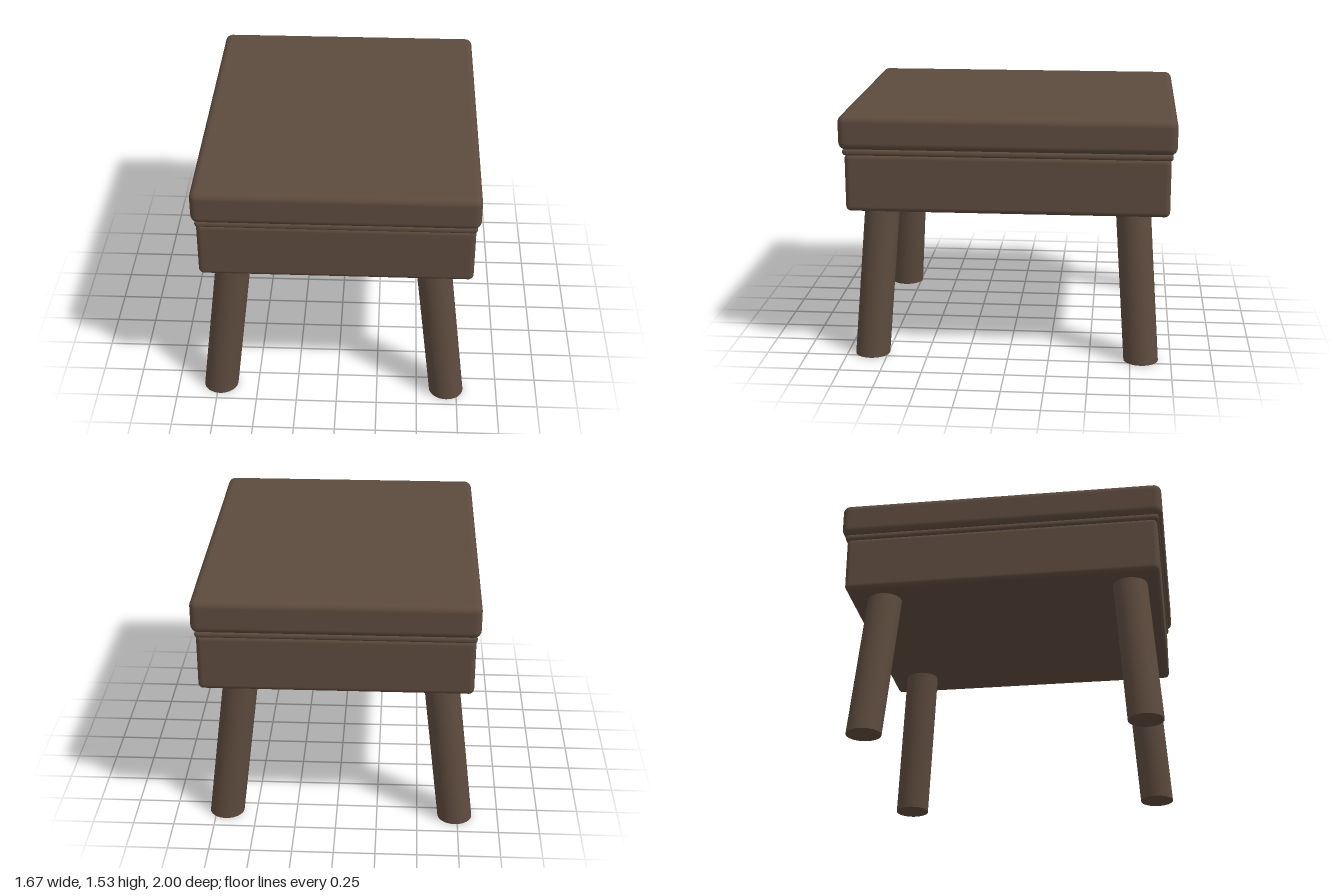
import * as THREE from 'three';
import { RoundedBoxGeometry } from 'three/addons/geometries/RoundedBoxGeometry.js';

export function createModel() {
  const stool = new THREE.Group();
  stool.name = 'stool';
  const wood = new THREE.MeshStandardMaterial({ color: 0x5c4a3d });
  wood.name = 'dark brown wood';

  // Rounded slab spanning y0..y1
  function slab(name, width, depth, y0, y1, radius) {
    const mesh = new THREE.Mesh(new RoundedBoxGeometry(width, y1 - y0, depth, 5, radius), wood);
    mesh.name = name;
    mesh.position.set(-0.002, (y0 + y1) / 2, 0);
    stool.add(mesh);
  }
  slab('seat', 1.67, 2, 1.32, 1.53, 0.045);
  slab('trimBand', 1.63, 1.955, 1.285, 1.325, 0.018);
  slab('apron', 1.62, 1.935, 0.94, 1.295, 0.032);

  // Splayed round legs, sheared so the feet lie flat on the floor
  const legHeight = 0.98, splayX = 0.118, splayZ = 0.07;
  for (const sx of [-1, 1]) {
    for (const sz of [-1, 1]) {
      const leg = new THREE.CylinderGeometry(0.106, 0.106, legHeight, 40);
      leg.translate(0, legHeight / 2, 0);
      leg.applyMatrix4(new THREE.Matrix4().set(
        1, -sx * splayX, 0, 0,
        0, 1, 0, 0,
        0, -sz * splayZ, 1, 0,
        0, 0, 0, 1));
      const mesh = new THREE.Mesh(leg, wood);
      mesh.name = (sz > 0 ? 'front' : 'back') + (sx > 0 ? 'Left' : 'Right') + 'Leg';
      mesh.position.set(sx * 0.71 - 0.024, 0, sz * 0.832 + 0.015);
      stool.add(mesh);
    }
  }
  return stool;
}
